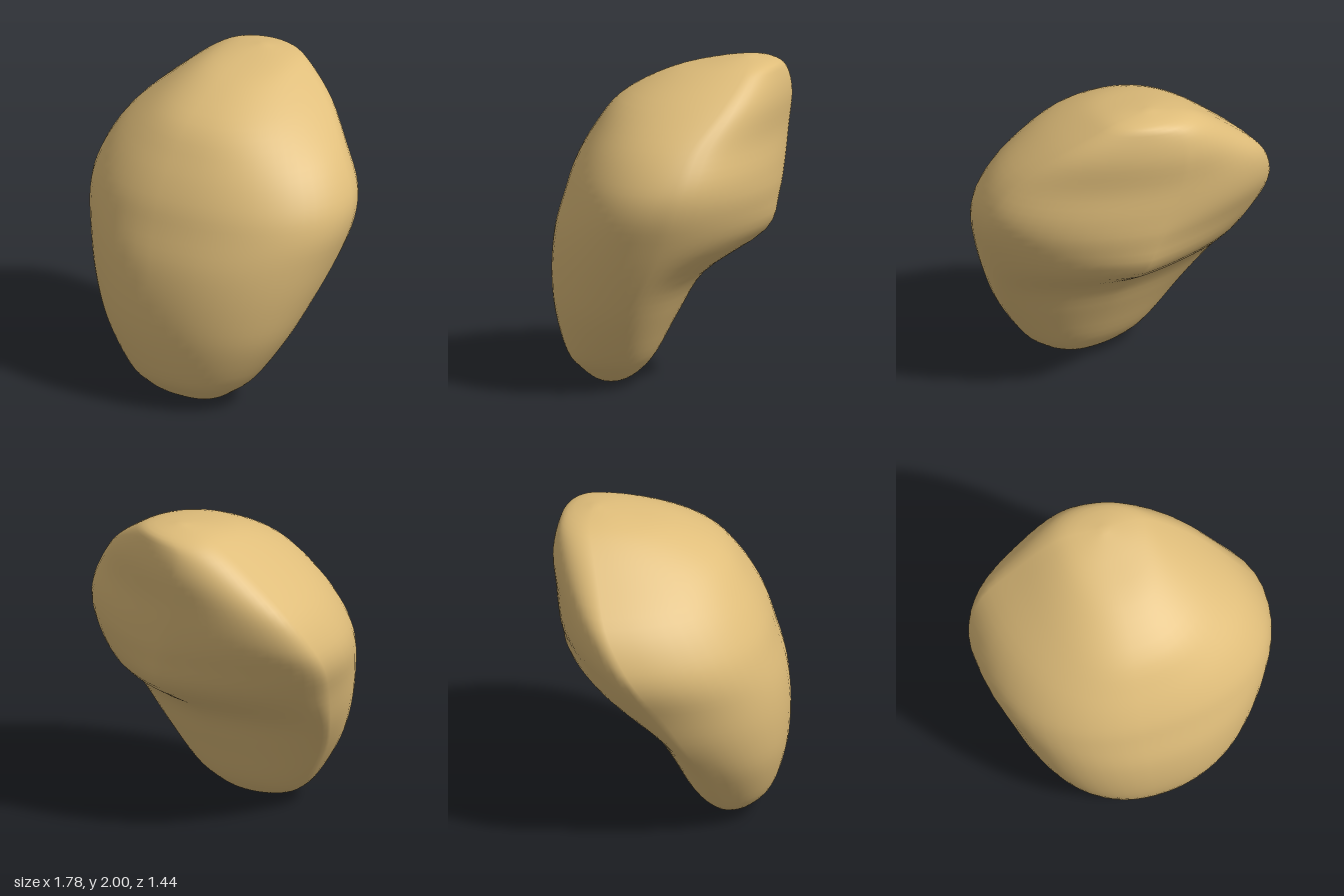
import * as THREE from 'three';

// Level outlines from base to crown:
// y, left x, left z, front z, right x, right z, back x, back z, left and right back flatness
const LEVELS = [
  [0, 0.02, 0.35, 0.35, 0.02, 0.35, 0.02, 0.35, 1, 1],
  [0.025, -0.18, 0.35, 0.45, 0.17, 0.36, 0.02, 0.26, 1, 1],
  [0.09, -0.32, 0.32, 0.54, 0.29, 0.34, 0.02, 0.17, 1, 1],
  [0.2, -0.43, 0.29, 0.63, 0.42, 0.32, 0.02, 0.08, 1, 1],
  [0.45, -0.6, 0.2, 0.7, 0.595, 0.27, 0.02, -0.055, 1.1, 1.1],
  [0.7, -0.73, 0.04, 0.72, 0.72, 0.18, 0.05, -0.215, 1.2, 1.35],
  [0.95, -0.815, -0.1, 0.7, 0.82, 0.09, 0.1, -0.57, 1.5, 1.6],
  [1.17, -0.885, -0.25, 0.64, 0.885, 0.02, 0.05, -0.65, 1.4, 1.4],
  [1.35, -0.865, -0.36, 0.58, 0.87, -0.05, -0.03, -0.68, 1.05, 1.35],
  [1.55, -0.755, -0.45, 0.47, 0.76, -0.13, -0.1, -0.7, 1, 1.4],
  [1.75, -0.535, -0.48, 0.31, 0.57, -0.3, -0.12, -0.72, 1, 1.35],
  [1.9, -0.34, -0.5, 0.03, 0.37, -0.42, -0.1, -0.69, 1, 1.2],
  [1.97, -0.19, -0.5, -0.26, 0.23, -0.46, 0, -0.62, 1, 1],
  [2, 0.02, -0.46, -0.46, 0.02, -0.46, 0.02, -0.46, 1, 1],
];
const FRONT_X = 0.02;
const QUARTER = 14, AROUND = QUARTER * 4, STEPS = 4;

// Smooth blend of the level table at position t
function levelAt(t) {
  const last = LEVELS.length - 1;
  const i = Math.min(Math.floor(t), last - 1), f = t - i;
  const row = (k) => LEVELS[Math.max(0, Math.min(last, k))];
  return LEVELS[0].map((_, c) => {
    const [a, b, d, e] = [row(i - 1)[c], row(i)[c], row(i + 1)[c], row(i + 2)[c]];
    return b + 0.5 * f * (d - a + f * (2 * a - 5 * b + 4 * d - e + f * (3 * (b - d) + e - a)));
  });
}

// Closed outline made of four arcs: each has its ends, centre and the two end powers
function outline([y, lx, lz, fz, rx, rz, bx, bz, leftFlat, rightFlat]) {
  const right = [rx, rz], front = [FRONT_X, fz], left = [lx, lz], back = [bx, bz];
  const arcs = [
    [right, front, [FRONT_X, rz], 0.92, 0.92],
    [front, left, [FRONT_X, lz], 0.88, 0.88],
    [left, back, [bx, lz], leftFlat, 1],
    [back, right, [bx, rz], 1.08, rightFlat],
  ];
  const points = [];
  for (const [a, b, c, powerA, powerB] of arcs) {
    for (let k = 0; k < QUARTER; k++) {
      const angle = (k / QUARTER) * Math.PI / 2;
      const u = Math.cos(angle) ** powerA, v = Math.sin(angle) ** powerB;
      points.push(
        c[0] + (a[0] - c[0]) * u + (b[0] - c[0]) * v,
        y,
        c[1] + (a[1] - c[1]) * u + (b[1] - c[1]) * v,
      );
    }
  }
  return points;
}

function rockGeometry() {
  const positions = [], index = [];
  const rings = (LEVELS.length - 1) * STEPS - 1;
  for (let r = 1; r <= rings; r++) positions.push(...outline(levelAt(r / STEPS)));
  const base = rings * AROUND, crown = base + 1;
  for (const end of [LEVELS[0], LEVELS[LEVELS.length - 1]]) positions.push(end[1], end[0], end[2]);

  for (let j = 0; j < AROUND; j++) {
    const n = (j + 1) % AROUND;
    for (let r = 0; r < rings - 1; r++) {
      const a = r * AROUND + j, b = r * AROUND + n;
      index.push(a, a + AROUND, b, b, a + AROUND, b + AROUND);
    }
    // Close the base and the crown
    const top = (rings - 1) * AROUND;
    index.push(base, j, n, top + j, crown, top + n);
  }
  const geometry = new THREE.BufferGeometry();
  geometry.setAttribute('position', new THREE.Float32BufferAttribute(positions, 3));
  geometry.setIndex(index);
  geometry.computeVertexNormals();
  return geometry;
}

export function createModel() {
  const model = new THREE.Group();
  model.name = 'boulder';
  const sandstone = new THREE.MeshStandardMaterial({ color: 0xdfbd7a });
  sandstone.name = 'sandstone';
  const rock = new THREE.Mesh(rockGeometry(), sandstone);
  rock.name = 'rock';
  model.add(rock);
  return model;
}
